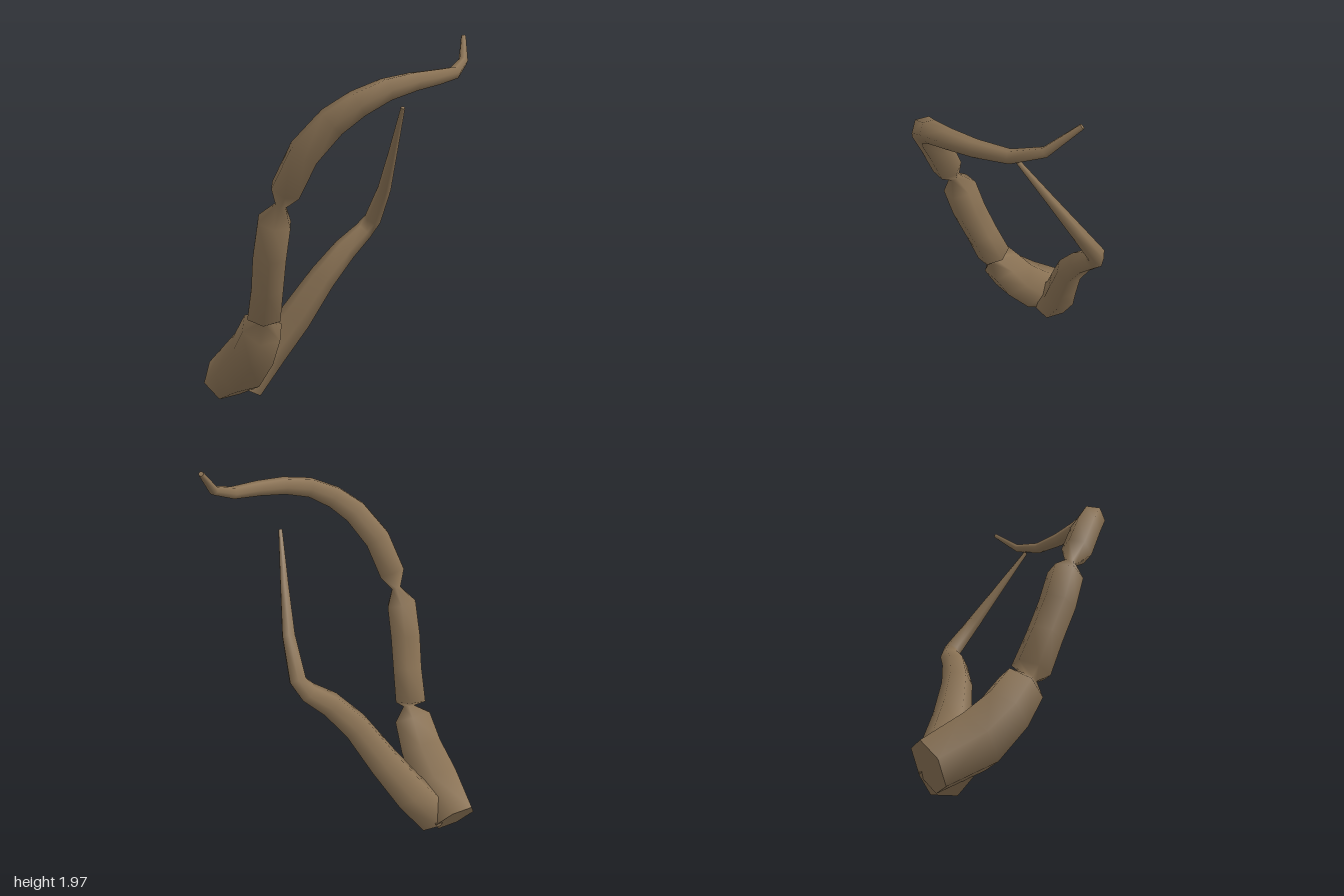
import * as THREE from 'three';

const SIDES = 6;

// Hexagonal limb swept through stations [x, y, z, radius], with flat end caps
function limb(name, stations, material) {
  const pts = stations.map(s => new THREE.Vector3(s[0], s[1], s[2]));
  const n = pts.length;
  const pos = [], idx = [];
  const U = new THREE.Vector3();
  const up = new THREE.Vector3(0, 1, 0);
  for (let i = 0; i < n; i++) {
    const T = pts[Math.min(i + 1, n - 1)].clone().sub(pts[Math.max(i - 1, 0)]).normalize();
    if (i === 0) U.crossVectors(T, up);
    U.addScaledVector(T, -U.dot(T)).normalize(); // carry the frame along without twist
    const V = new THREE.Vector3().crossVectors(T, U);
    for (let k = 0; k < SIDES; k++) {
      const a = (k / SIDES) * Math.PI * 2;
      const p = pts[i].clone()
        .addScaledVector(U, Math.cos(a) * stations[i][3])
        .addScaledVector(V, Math.sin(a) * stations[i][3]);
      pos.push(p.x, p.y, p.z);
    }
  }
  for (let i = 0; i < n - 1; i++) {
    for (let k = 0; k < SIDES; k++) {
      const a = i * SIDES + k, b = i * SIDES + (k + 1) % SIDES;
      idx.push(a, b, a + SIDES, b, b + SIDES, a + SIDES);
    }
  }
  // caps use their own vertices so the rims stay sharp
  for (const end of [0, n - 1]) {
    const base = pos.length / 3;
    pos.push(...pos.slice(end * SIDES * 3, (end + 1) * SIDES * 3));
    for (let k = 1; k < SIDES - 1; k++) {
      if (end === 0) idx.push(base, base + k + 1, base + k);
      else idx.push(base, base + k, base + k + 1);
    }
  }
  const geo = new THREE.BufferGeometry();
  geo.setAttribute('position', new THREE.Float32BufferAttribute(pos, 3));
  geo.setIndex(idx);
  geo.computeVertexNormals();
  const mesh = new THREE.Mesh(geo, material);
  mesh.name = name;
  return mesh;
}

export function createModel() {
  const bark = new THREE.MeshStandardMaterial({ color: 0x8b7355 });
  bark.name = 'bark brown';
  const group = new THREE.Group();
  group.name = 'forkedBranch';

  // Main stem: thick base, pinched joint, middle, pinched joint, curling tip
  group.add(limb('mainStem', [
    [-0.52, 0.12, 0.40, 0.125],
    [-0.32, 0.25, 0.42, 0.145],
    [-0.18, 0.40, 0.42, 0.13],
    [-0.09, 0.54, 0.425, 0.115],
    [-0.045, 0.59, 0.43, 0.035],
    [-0.045, 0.625, 0.44, 0.095],
    [0.02, 0.80, 0.46, 0.09],
    [0.08, 0.97, 0.485, 0.092],
    [0.13, 1.14, 0.49, 0.09],
    [0.17, 1.225, 0.48, 0.028],
    [0.21, 1.30, 0.48, 0.078],
    [0.30, 1.48, 0.44, 0.078],
    [0.40, 1.62, 0.36, 0.073],
    [0.47, 1.70, 0.27, 0.065],
    [0.525, 1.76, 0.15, 0.055],
    [0.54, 1.79, 0.0, 0.047],
    [0.525, 1.805, -0.16, 0.04],
    [0.48, 1.82, -0.33, 0.032],
    [0.41, 1.87, -0.465, 0.024],
    [0.31, 1.99, -0.57, 0.013],
  ], bark));

  // Side stem: leaves the base, leans back, then bends into a thin spike
  group.add(limb('sideStem', [
    [-0.41, 0.11, 0.34, 0.115],
    [-0.36, 0.29, 0.20, 0.105],
    [-0.27, 0.48, 0.085, 0.092],
    [-0.19, 0.70, -0.04, 0.077],
    [-0.145, 0.85, -0.165, 0.066],
    [-0.12, 0.945, -0.28, 0.053],
    [-0.09, 1.01, -0.32, 0.047],
    [0.03, 1.20, -0.295, 0.036],
    [0.16, 1.42, -0.235, 0.023],
    [0.295, 1.65, -0.17, 0.011],
  ], bark));

  return group;
}
